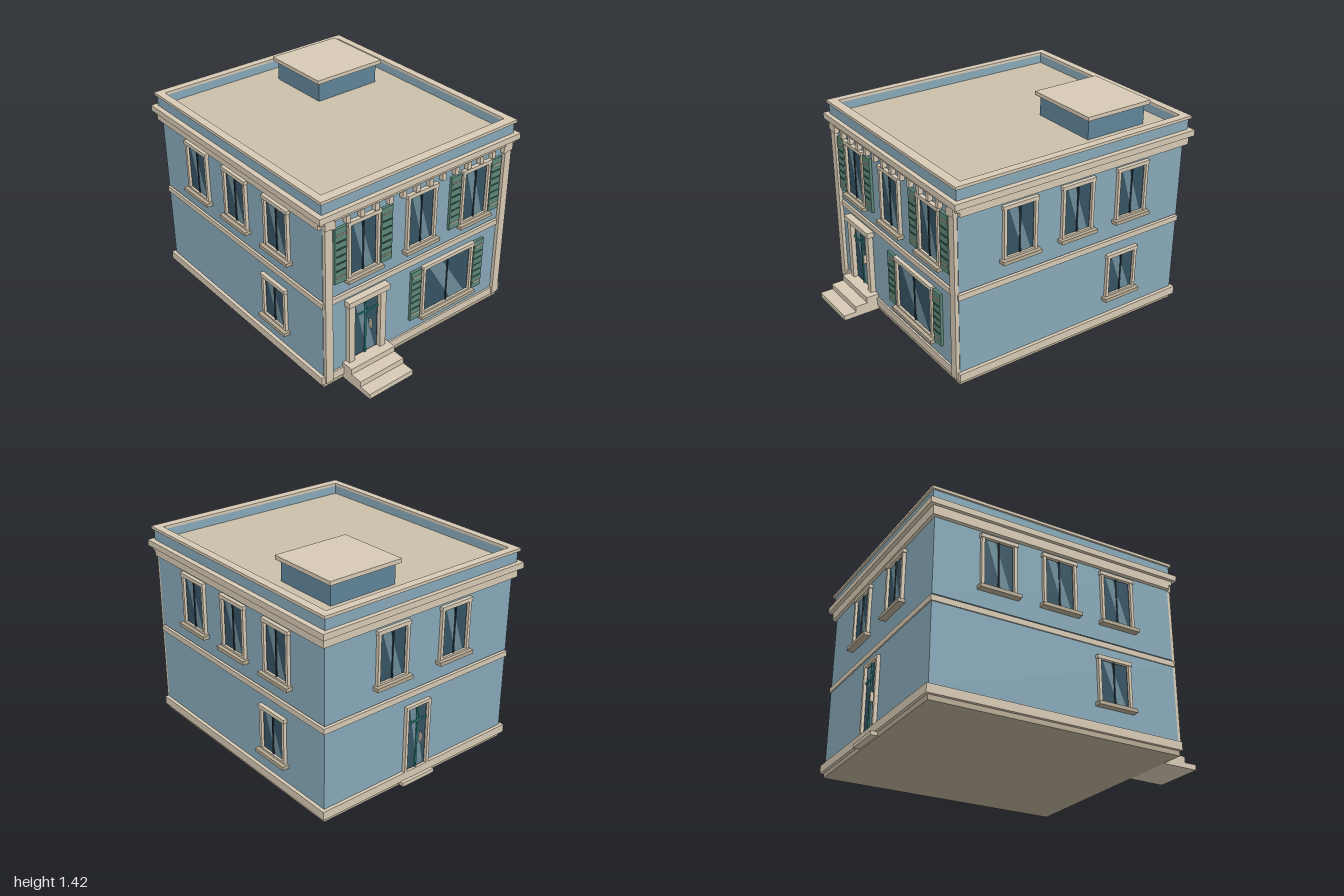
import * as THREE from 'three';

const paint = (color) => new THREE.MeshStandardMaterial({ color, flatShading: true });
const WALL = paint(0x87a8b8), TRIM = paint(0xd6c9b3), PLINTH = paint(0xb5a992), ROOF = paint(0xcbbfa9);
const GLASS = paint(0x355363), SHINE = paint(0x6c8c99), DARK = paint(0x22323c);
const SHUTTER = paint(0x5c8778), SLAT = paint(0x3d6458), TEAL = paint(0x2a857c), HATCH = paint(0x5f8499);
SHINE.side = THREE.DoubleSide;

// Box given by its extents on each axis
function box(parent, name, mat, x0, x1, y0, y1, z0, z1) {
  const m = new THREE.Mesh(new THREE.BoxGeometry(x1 - x0, y1 - y0, z1 - z0), mat);
  m.position.set((x0 + x1) / 2, (y0 + y1) / 2, (z0 + z1) / 2);
  m.name = name;
  parent.add(m);
  return m;
}

function group(parent, name) {
  const g = new THREE.Group();
  g.name = name;
  parent.add(g);
  return g;
}

// Rectangular ring, extruded upwards
function ring(parent, name, mat, outer, inner, y0, y1) {
  const corners = ([x, zBack, zFront]) => [[-x, -zFront], [x, -zFront], [x, -zBack], [-x, -zBack]].map(([a, b]) => new THREE.Vector2(a, b));
  const s = new THREE.Shape(corners(outer));
  s.holes.push(new THREE.Path(corners(inner).reverse()));
  const geo = new THREE.ExtrudeGeometry(s, { depth: y1 - y0, bevelEnabled: false });
  geo.rotateX(-Math.PI / 2);
  const m = new THREE.Mesh(geo, mat);
  m.position.y = y0;
  m.name = name;
  parent.add(m);
}

// Dark pane with a diagonal highlight
function pane(g, x, hw, y0, y1) {
  box(g, 'sash', DARK, x - hw, x + hw, y0, y1, 0, 0.004);
  box(g, 'glass', GLASS, x - hw + 0.008, x + hw - 0.008, y0 + 0.008, y1 - 0.008, 0, 0.006);
  const w = hw - 0.008, b = y0 + 0.008, t = y1 - 0.008;
  const s = new THREE.Shape([[x + 0.2 * w, b], [x + 0.85 * w, b], [x - 0.25 * w, t], [x - 0.85 * w, t]]
    .map(([a, c]) => new THREE.Vector2(a, c)));
  const m = new THREE.Mesh(new THREE.ShapeGeometry(s), SHINE);
  m.position.z = 0.0075;
  m.name = 'glassHighlight';
  g.add(m);
}

// Window with surround, centre mullion and sill; hw is half the glass width
function windowUnit(parent, x, hw, y0, y1) {
  const g = group(parent, 'window'), o = hw + 0.02;
  pane(g, x, hw, y0, y1);
  box(g, 'mullion', DARK, x - 0.005, x + 0.005, y0, y1, 0, 0.012);
  for (const s of [-1, 1]) {
    const c = x + s * (hw + 0.01);
    box(g, 'frameSide', TRIM, c - 0.01, c + 0.01, y0, y1, 0, 0.022);
  }
  box(g, 'frameBottom', TRIM, x - o, x + o, y0 - 0.008, y0 + 0.006, 0, 0.02);
  box(g, 'frameTop', TRIM, x - o - 0.006, x + o + 0.006, y1 - 0.003, y1 + 0.022, 0, 0.026);
  box(g, 'sill', PLINTH, x - o - 0.018, x + o + 0.018, y0 - 0.03, y0 - 0.006, 0, 0.045);
}

// Louvred shutter
function shutter(parent, x0, x1, y0, y1) {
  const g = group(parent, 'shutter'), h = y1 - y0;
  box(g, 'shutterPanel', SHUTTER, x0, x1, y0, y1, 0, 0.018);
  for (const t of [0.12, 0.88]) {
    box(g, 'shutterRail', TRIM, x0 + 0.008, x1 - 0.008, y0 + h * t - 0.004, y0 + h * t + 0.004, 0, 0.023);
  }
  for (const t of [0.24, 0.37, 0.5, 0.63, 0.76]) {
    box(g, 'shutterSlat', SLAT, x0 + 0.01, x1 - 0.01, y0 + h * t - 0.004, y0 + h * t + 0.004, 0, 0.023);
  }
}

// Glazed door with cross bars, handle and surround
function door(parent, x, hw, y0, y1, jamb, depth) {
  const g = group(parent, 'door'), bar = y0 + (y1 - y0) * 0.76;
  pane(g, x, hw, y0, y1);
  box(g, 'doorUpright', TEAL, x - 0.006, x + 0.006, y0, y1, 0, 0.014);
  box(g, 'doorCrossbar', TEAL, x - hw, x + hw, bar - 0.006, bar + 0.006, 0, 0.014);
  box(g, 'doorHandle', TRIM, x + hw * 0.32, x + hw * 0.32 + 0.012, y0 + 0.17, y0 + 0.23, 0, 0.024);
  for (const s of [-1, 1]) {
    const c = x + s * (hw + jamb / 2);
    box(g, 'doorJamb', TRIM, c - jamb / 2, c + jamb / 2, y0, y1, 0, depth);
  }
  box(g, 'doorLintel', TRIM, x - hw - jamb, x + hw + jamb, y1, y1 + 0.02, 0, depth);
}

export function createModel() {
  const model = new THREE.Group();
  model.name = 'townhouse';
  const F = 0.743, B = -0.947, W = 0.742, MID = (F + B) / 2;

  // Walls and horizontal bands
  box(model, 'plinth', PLINTH, -0.745, 0.745, 0, 0.032, B - 0.003, F + 0.003);
  box(model, 'baseBand', TRIM, -0.765, 0.765, 0.032, 0.087, B - 0.022, F + 0.012);
  box(model, 'lowerWall', WALL, -W, W, 0.087, 0.595, B, F);
  box(model, 'floorBand', TRIM, -0.75, 0.75, 0.593, 0.63, B - 0.008, F + 0.008);
  box(model, 'upperWall', WALL, -W, W, 0.64, 1.2, B, F);

  // Cornice, parapet and roof
  box(model, 'frieze', TRIM, -0.768, 0.768, 1.14, 1.2, B - 0.022, F - 0.002);
  box(model, 'frontFrieze', TRIM, -0.768, 0.768, 1.172, 1.2, F - 0.002, F + 0.022);
  box(model, 'cornice', TRIM, -0.79, 0.79, 1.2, 1.24, -0.995, 0.787);
  box(model, 'roofDeck', ROOF, -0.73, 0.73, 1.235, 1.255, -0.94, 0.72);
  ring(model, 'parapet', WALL, [0.755, -0.966, 0.757], [0.72, -0.93, 0.71], 1.24, 1.315);
  ring(model, 'parapetCap', TRIM, [0.768, -0.979, 0.769], [0.716, -0.926, 0.706], 1.313, 1.332);
  box(model, 'roofHatch', HATCH, 0.075, 0.556, 1.25, 1.392, -0.772, -0.324);
  box(model, 'roofHatchCap', TRIM, 0.05, 0.58, 1.39, 1.416, -0.797, -0.3);

  // Front facade
  const front = group(model, 'frontFacade');
  front.position.z = F;
  for (const x of [-0.45, 0, 0.45]) {
    windowUnit(front, x, 0.098, 0.745, 1.1);
    if (x !== 0) {
      shutter(front, x - 0.215, x - 0.13, 0.735, 1.11);
      shutter(front, x + 0.13, x + 0.215, 0.735, 1.11);
    }
  }
  windowUnit(front, 0.252, 0.197, 0.187, 0.527);
  shutter(front, -0.062, 0.02, 0.175, 0.543);
  shutter(front, 0.482, 0.564, 0.175, 0.543);
  door(front, -0.427, 0.1, 0.118, 0.53, 0.043, 0.035);
  box(front, 'doorHeader', TRIM, -0.582, -0.265, 0.54, 0.577, 0, 0.048);
  for (const s of [-1, 1]) {
    const c = s * 0.712;
    box(front, 'pilaster', TRIM, c - 0.027, c + 0.027, 0.04, 1.175, 0, 0.024);
    box(front, 'pilasterCapital', TRIM, c - 0.032, c + 0.032, 1.135, 1.2, 0, 0.03);
    for (let k = 0; k < 7; k++) {
      const x = s * (0.0525 + 0.105 * k);
      box(front, 'corniceBracket', TRIM, x - 0.015, x + 0.015, 1.128, 1.175, 0, 0.03);
    }
  }

  // Front steps
  const steps = group(model, 'frontSteps');
  [[0.115, 0.73, 0.829], [0.075, 0.829, 0.914], [0.036, 0.914, 1]].forEach(([h, z0, z1]) =>
    box(steps, 'step', TRIM, -0.595, -0.25, 0, h, z0, z1));

  // Side facades: the same layout turned to each side
  for (const s of [-1, 1]) {
    const side = group(model, s > 0 ? 'leftFacade' : 'rightFacade');
    side.position.set(s * W, 0, MID);
    side.rotation.y = s * Math.PI / 2;
    for (const u of [-0.424, 0, 0.424]) windowUnit(side, u, 0.1, 0.775, 1.095);
    windowUnit(side, 0.377, 0.1, 0.227, 0.507);
  }

  // Back facade
  const back = group(model, 'backFacade');
  back.position.z = B;
  back.rotation.y = Math.PI;
  for (const u of [-0.25, 0.25]) windowUnit(back, u, 0.1, 0.775, 1.095);
  door(back, -0.03, 0.08, 0.087, 0.52, 0.02, 0.024);
  box(back, 'backStep', TRIM, -0.16, 0.1, 0.01, 0.035, 0, 0.045);

  return model;
}
